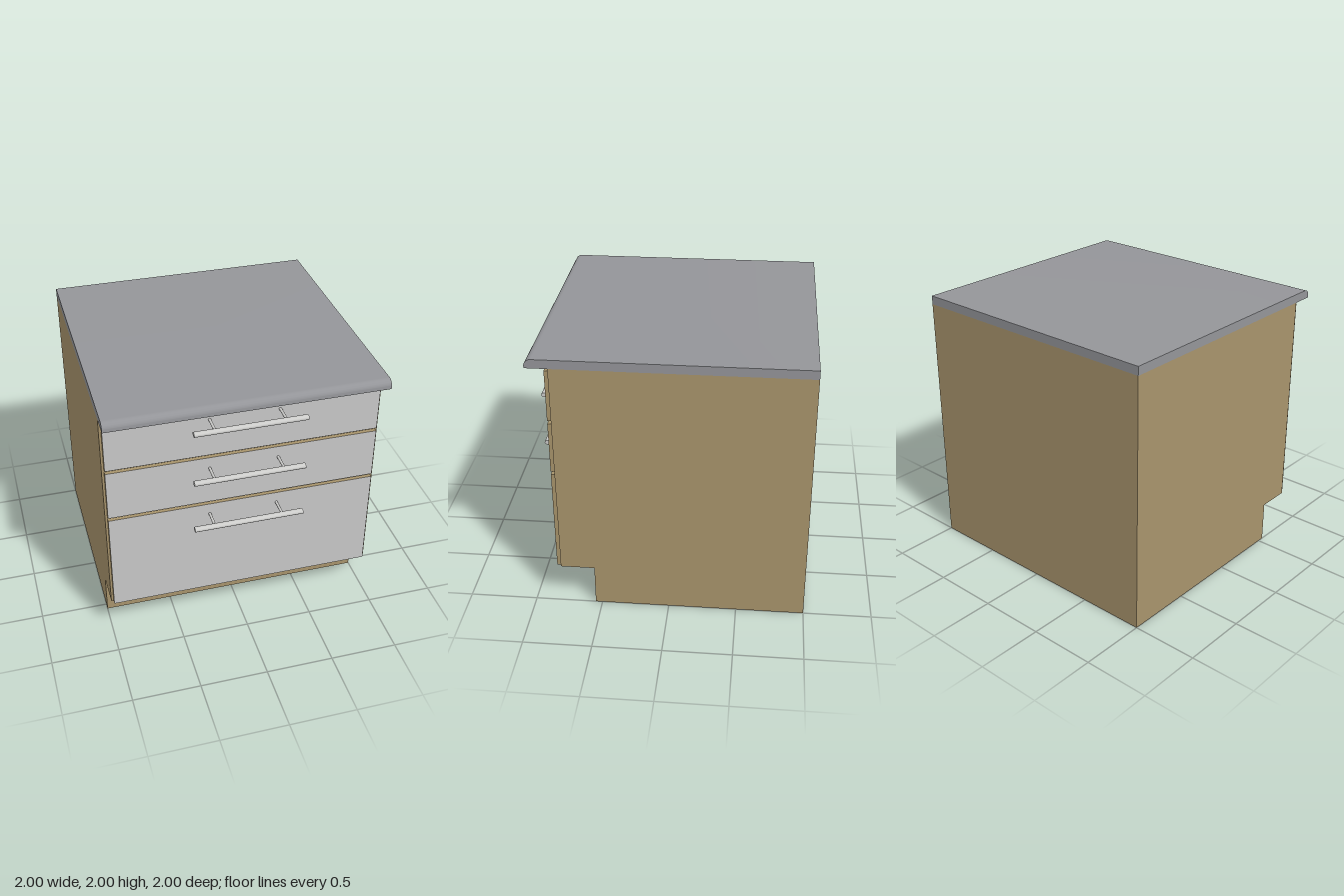
import * as THREE from 'three';
import { toCreasedNormals } from 'three/addons/utils/BufferGeometryUtils.js';

const material = (name, color) => {
  const m = new THREE.MeshStandardMaterial({ color });
  m.name = name;
  return m;
};

export function createModel() {
  const wood = material('wood', 0xa8946c);
  const stone = material('worktop grey', 0x949599);
  const panel = material('drawer grey', 0xc8c8c8);
  const metal = material('handle metal', 0xcdcdcb);

  const model = new THREE.Group();
  model.name = 'drawerCabinet';

  const add = (parent, name, geometry, mat, x = 0, y = 0, z = 0) => {
    const mesh = new THREE.Mesh(geometry, mat);
    mesh.name = name;
    mesh.position.set(x, y, z);
    parent.add(mesh);
    return mesh;
  };

  // Side profile drawn in (z, y), swept across the full width
  const sweep = (shape) => {
    const g = new THREE.ExtrudeGeometry(shape, { depth: 2, bevelEnabled: false, curveSegments: 8 });
    g.rotateY(-Math.PI / 2).translate(1, 0, 0);
    return toCreasedNormals(g, 0.6);
  };

  // Carcass with recessed toe kick
  const body = new THREE.Shape([[-1, 0], [0.55, 0], [0.55, 0.31], [0.8, 0.31], [0.8, 1.935], [-1, 1.935]]
    .map(([z, y]) => new THREE.Vector2(z, y)));
  add(model, 'carcass', sweep(body), wood);

  // Worktop with rounded upper front edge
  const top = new THREE.Shape();
  top.moveTo(-1, 1.935);
  top.lineTo(0.96, 1.935);
  top.lineTo(0.96, 1.95);
  top.absarc(0.91, 1.95, 0.05, 0, Math.PI / 2, false);
  top.lineTo(-1, 2);
  top.closePath();
  add(model, 'worktop', sweep(top), stone);

  // Slightly oval grip bar and its two posts
  const barGeometry = new THREE.CylinderGeometry(0.018, 0.018, 0.8, 16)
    .rotateZ(Math.PI / 2).scale(1, 1, 1.28);
  const postGeometry = new THREE.CylinderGeometry(0.01, 0.01, 0.15, 12).rotateX(Math.PI / 2);

  // Drawers: grey face on wood-edged boards, each with a handle
  const drawers = [
    { name: 'bottomDrawer', low: 0.31, high: 1.098, grip: 1.012 },
    { name: 'middleDrawer', low: 1.122, high: 1.506, grip: 1.418 },
    { name: 'topDrawer', low: 1.53, high: 1.912, grip: 1.824 },
  ];
  for (const { name, low, high, grip } of drawers) {
    const drawer = new THREE.Group();
    drawer.name = name;
    model.add(drawer);
    add(drawer, 'drawerFront', new THREE.BoxGeometry(1.966, high - low, 0.03),
      [wood, wood, wood, wood, panel, wood], 0, (low + high) / 2, 0.815);
    add(drawer, 'handleBar', barGeometry, metal, 0, grip, 0.977);
    for (const side of [-1, 1]) add(drawer, 'handlePost', postGeometry, metal, side * 0.25, grip, 0.9);
  }
  return model;
}
